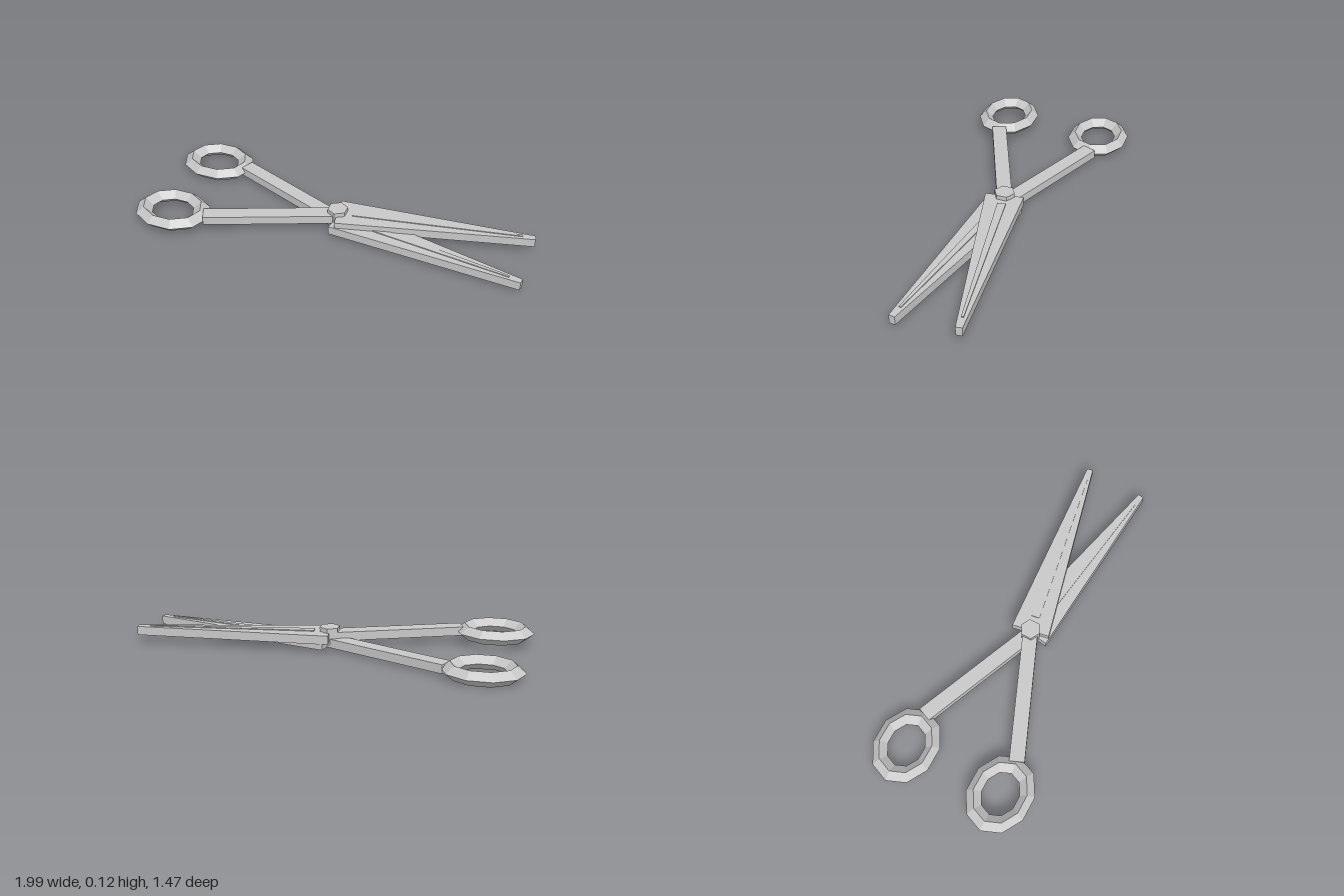
import * as THREE from 'three';

const rad = THREE.MathUtils.degToRad;
const steel = new THREE.MeshStandardMaterial({ color: 0xc8c8c8 });
steel.name = 'steel grey';

function part(name, geometry) {
  const flat = geometry.index ? geometry.toNonIndexed() : geometry;
  flat.computeVertexNormals();
  const mesh = new THREE.Mesh(flat, steel);
  mesh.name = name;
  return mesh;
}

// Bar along x from x0 to x1 whose half width runs from h0 to h1
function taperedBar(x0, x1, h0, h1, height) {
  const g = new THREE.BoxGeometry(x1 - x0, height, 2);
  g.translate((x0 + x1) / 2, 0, 0);
  const p = g.attributes.position;
  const mid = (x0 + x1) / 2;
  for (let i = 0; i < p.count; i++) {
    p.setZ(i, p.getZ(i) * (p.getX(i) < mid ? h0 : h1));
  }
  return g;
}

// One half of the scissors; side +1 swings the blade towards -z
function makeHalf(name, side, y) {
  const half = new THREE.Group();
  half.name = name;
  half.position.y = y;

  const blade = part('blade', taperedBar(0, 1.015, 0.1, 0.016, 0.046));
  const rib = part('bladeRib', taperedBar(0.08, 0.95, 0.022, 0.006, 0.055));
  blade.rotation.y = rib.rotation.y = side * rad(9);

  const handle = part('handle', taperedBar(-0.7, 0, 0.039, 0.039, 0.046));
  handle.rotation.y = side * rad(22.5);

  // Oval finger ring with a diamond section
  const ringShape = new THREE.TorusGeometry(0.13, 0.037, 4, 10);
  ringShape.rotateX(Math.PI / 2);
  ringShape.scale(1.23, 1, 1);
  const ring = part('fingerRing', ringShape);
  ring.position.set(-0.823, 0, side * 0.271);

  half.add(blade, rib, handle, ring);
  return half;
}

export function createModel() {
  const model = new THREE.Group();
  model.name = 'scissors';

  const body = new THREE.Group();
  body.name = 'scissorsBody';
  body.position.set(0.042, 0, -0.088);
  body.rotation.y = rad(30);
  body.add(makeHalf('upperHalf', 1, 0.07), makeHalf('lowerHalf', -1, 0.038));

  // Six-sided pivot bolt, corners along the world x axis
  const bolt = part('pivotBolt', new THREE.CylinderGeometry(0.054, 0.054, 0.086, 6));
  bolt.position.y = 0.073;
  body.add(bolt);

  model.add(body);
  return model;
}
